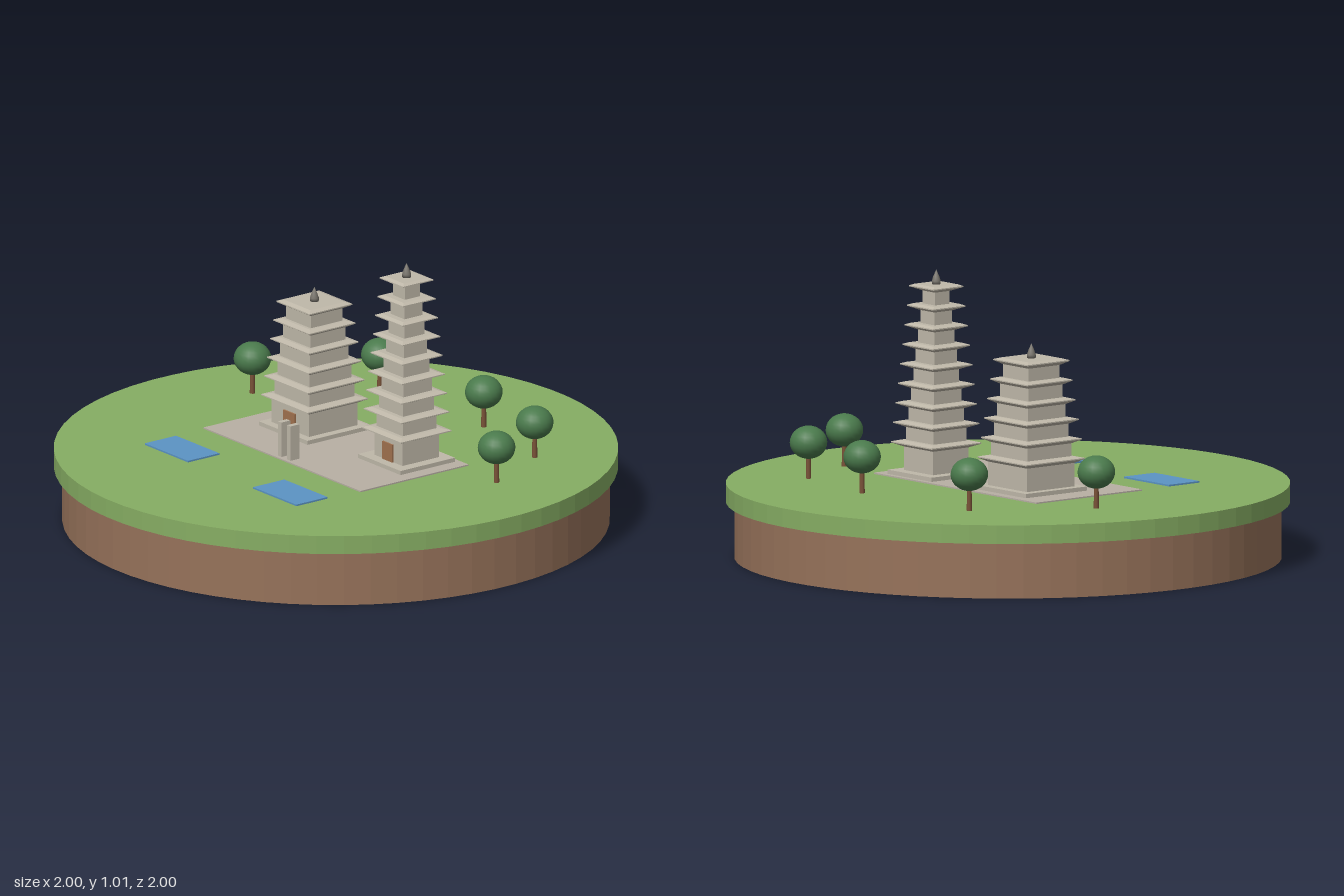
import * as THREE from 'three';

const mat = (name, color, extra = {}) => {
  const m = new THREE.MeshStandardMaterial({ color, ...extra });
  m.name = name;
  return m;
};
const flat = { flatShading: true };

export function createModel() {
  const M = {
    grass: mat('grass', 0x86ad63, flat),
    soil: mat('soil', 0x96725a, flat),
    paving: mat('paving', 0xb8b0a4),
    stone: mat('stone', 0xbfb8a9, flat),
    water: mat('water', 0x5b94c4),
    leaf: mat('leaf', 0x4a7a4c),
    bark: mat('bark', 0x7a5238),
    door: mat('door wood', 0xa0714e),
    finial: mat('finial grey', 0x77736b),
  };
  const GROUND = 0.267;
  const model = new THREE.Group();
  model.name = 'pagodaIsland';

  const add = (parent, name, geo, material, x = 0, y = 0, z = 0) => {
    const mesh = new THREE.Mesh(geo, material);
    mesh.name = name;
    mesh.position.set(x, y, z);
    parent.add(mesh);
    return mesh;
  };
  // box standing on height y
  const box = (parent, name, material, w, h, d, x, y, z) =>
    add(parent, name, new THREE.BoxGeometry(w, h, d), material, x, y + h / 2, z);

  // round island
  add(model, 'soilDisc', new THREE.CylinderGeometry(0.97, 0.97, 0.2, 64), M.soil, 0, 0.1, 0);
  add(model, 'grassDisc', new THREE.CylinderGeometry(1, 1, 0.067, 64), M.grass, 0, 0.2335, 0);

  // temple court, turned on the island
  const court = new THREE.Group();
  court.name = 'templeCourt';
  court.rotation.y = -THREE.MathUtils.degToRad(20);
  court.position.y = GROUND;
  model.add(court);

  box(court, 'plaza', M.paving, 0.905, 0.005, 0.485, 0, 0, 0);
  for (const s of [-1, 1]) {
    box(court, 'pond', M.water, 0.25, 0.006, 0.14, s * 0.312, 0, 0.448);
    box(court, 'gatePillar', M.stone, 0.02, 0.133, 0.04, s * 0.027 - 0.004, 0, 0.209);
  }

  // square eave: corbelled underside, thin rim, shallow sloping top
  const eave = (wall, w) => {
    const profile = [[0, 0], [wall, 0], [w, 0.014], [w, 0.018], [w * 0.8, 0.024], [0, 0.024]];
    const pts = profile.map(([s, y]) => new THREE.Vector2(s * Math.SQRT1_2, y));
    return new THREE.LatheGeometry(pts, 4).rotateY(Math.PI / 4);
  };

  const finialProfile = [[0, 0], [0.016, 0], [0.016, 0.012], [0.01, 0.03], [0, 0.052]]
    .map(([r, y]) => new THREE.Vector2(r, y));

  const pagoda = (name, x, z, tiers, p) => {
    const g = new THREE.Group();
    g.name = name;
    g.position.set(x, 0, z);
    court.add(g);
    box(g, 'plinth', M.stone, p.base, 0.02, p.base, 0, 0, 0);
    let floor = 0.02;
    for (let i = 0; i < tiers; i++) {
      const t = i / (tiers - 1);
      const wall = THREE.MathUtils.lerp(p.wall[0], p.wall[1], t);
      const roof = THREE.MathUtils.lerp(p.roof[0], p.roof[1], t);
      const top = 0.128 + i * 0.07;
      box(g, 'storey', M.stone, wall, top - 0.024 - floor, wall, 0, floor, 0);
      add(g, 'eave', eave(wall, roof), M.stone, 0, top - 0.024, 0);
      floor = top;
    }
    add(g, 'finial', new THREE.LatheGeometry(finialProfile, 12), M.finial, 0, floor, 0);
    box(g, 'door', M.door, p.door, 0.066, 0.008, 0, 0.02, p.wall[0] / 2 + 0.002);
  };
  pagoda('broadPagoda', -0.211, -0.067, 6, { base: 0.28, wall: [0.217, 0.142], roof: [0.27, 0.192], door: 0.068 });
  pagoda('slenderPagoda', 0.277, -0.101, 9, { base: 0.244, wall: [0.163, 0.068], roof: [0.228, 0.136], door: 0.057 });

  // trees
  for (const [x, z] of [[-0.575, -0.36], [-0.215, -0.635], [0.32, -0.475], [0.655, -0.28], [0.69, 0.03]]) {
    const tree = new THREE.Group();
    tree.name = 'tree';
    tree.position.set(x, GROUND, z);
    model.add(tree);
    add(tree, 'trunk', new THREE.CylinderGeometry(0.008, 0.01, 0.1, 8), M.bark, 0, 0.05, 0);
    add(tree, 'crown', new THREE.SphereGeometry(0.067, 20, 14), M.leaf, 0, 0.13, 0).scale.y = 0.88;
  }
  return model;
}
